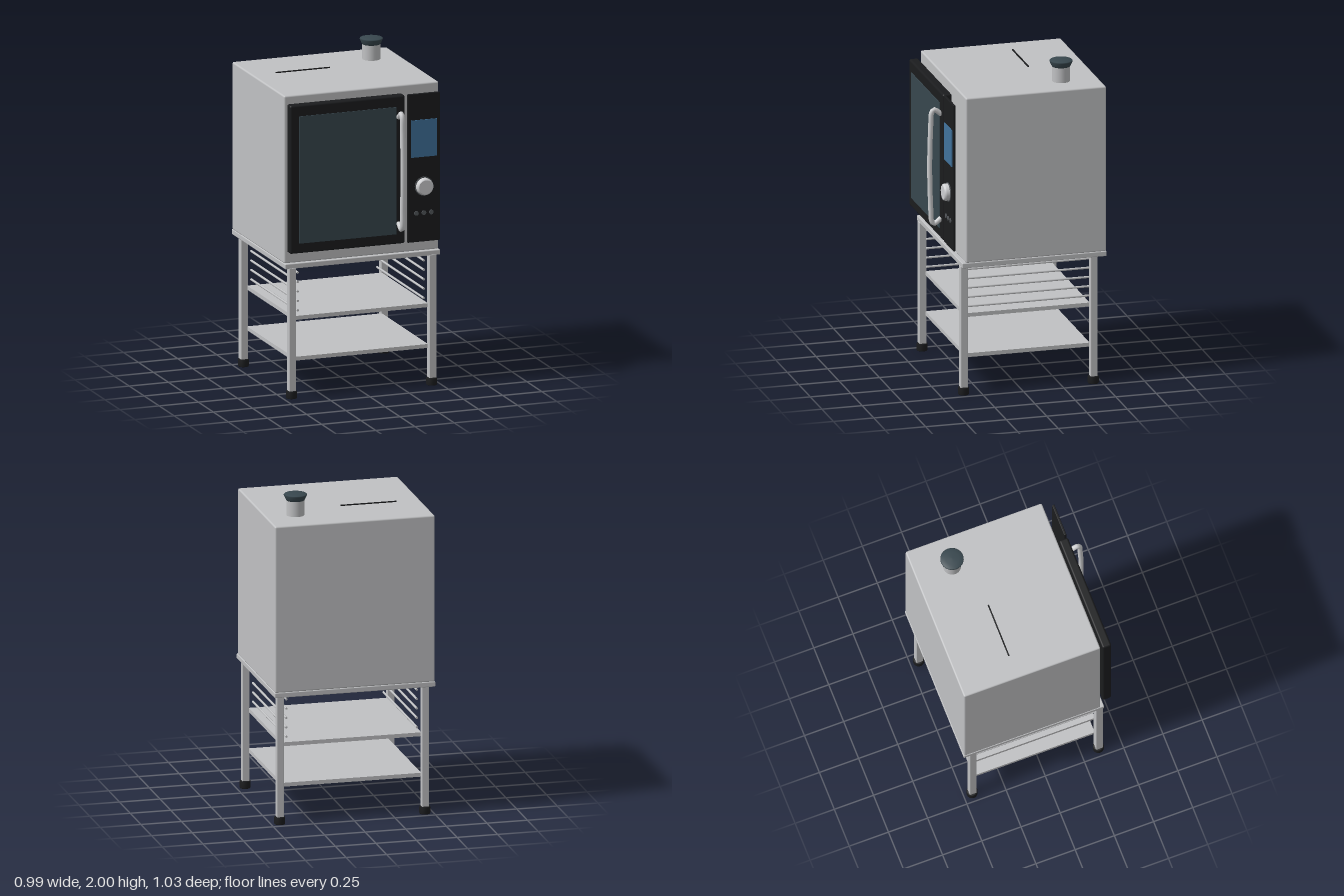
import * as THREE from 'three';
import { RoundedBoxGeometry } from 'three/addons/geometries/RoundedBoxGeometry.js';

const paint = (name, color) => {
  const m = new THREE.MeshStandardMaterial({ color });
  m.name = name;
  return m;
};

export function createModel() {
  const steel = paint('brushed steel', 0xc0c1c3);
  const chrome = paint('polished steel', 0xcfd0d2);
  const black = paint('black enamel', 0x1b1c1e);
  const glass = paint('dark glass', 0x38474e);
  const blue = paint('display blue', 0x41739c);
  const grey = paint('button grey', 0x55595d);

  const model = new THREE.Group();
  model.name = 'ovenOnStand';

  const add = (name, geometry, material, x = 0, y = 0, z = 0, parent = model) => {
    const mesh = new THREE.Mesh(geometry, material);
    mesh.name = name;
    mesh.position.set(x, y, z);
    parent.add(mesh);
    return mesh;
  };
  // Box given by its limits, optionally with rounded edges
  const box = (name, mat, [x0, x1], [y0, y1], [z0, z1], r = 0, parent = model) => {
    const s = [x1 - x0, y1 - y0, z1 - z0];
    const g = r ? new RoundedBoxGeometry(...s, 3, r) : new THREE.BoxGeometry(...s);
    return add(name, g, mat, (x0 + x1) / 2, (y0 + y1) / 2, (z0 + z1) / 2, parent);
  };
  const group = (name) => {
    const g = new THREE.Group();
    g.name = name;
    model.add(g);
    return g;
  };

  // Cabinet
  box('cabinet', steel, [-0.493, 0.493], [0.83, 1.862], [-0.515, 0.355], 0.01);
  box('roofSlot', black, [-0.345, 0], [1.86, 1.868], [-0.177, -0.169]);

  // Exhaust pipe with a flared cap
  add('exhaustPipe', new THREE.CylinderGeometry(0.054, 0.054, 0.11, 32), steel, 0.308, 1.91, -0.287);
  const cap = [[0, 1.955], [0.055, 1.955], [0.059, 1.962], [0.07, 1.987], [0.066, 1.992], [0.04, 1.998], [0, 2]]
    .map(([r, y]) => new THREE.Vector2(r, y));
  add('exhaustCap', new THREE.LatheGeometry(cap, 32), glass, 0.308, 0, -0.287);

  // Door with window
  const door = group('door');
  box('doorFrame', black, [-0.483, 0.25], [0.905, 1.818], [0.372, 0.429], 0.012, door);
  box('doorWindow', glass, [-0.425, 0.193], [0.967, 1.75], [0.426, 0.434], 0, door);

  // Bowed handle
  const half = [[1.685, 0.428], [1.705, 0.452], [1.716, 0.471], [1.7, 0.486], [1.6, 0.493]];
  const points = [...half, [1.36, 0.499], ...half.map(([y, z]) => [2.72 - y, z]).reverse()]
    .map(([y, z]) => new THREE.Vector3(0.21, y, z));
  add('doorHandle', new THREE.TubeGeometry(new THREE.CatmullRomCurve3(points), 64, 0.0155, 12), chrome, 0, 0, 0, door);

  // Control panel
  const panel = group('controlPanel');
  box('panelPlate', black, [0.268, 0.473], [0.905, 1.818], [0.413, 0.428], 0.004, panel);
  box('displayScreen', blue, [0.288, 0.452], [1.428, 1.657], [0.426, 0.433], 0, panel);
  add('knobRing', new THREE.CylinderGeometry(0.058, 0.058, 0.006, 32), grey, 0.37, 1.247, 0.43, panel)
    .rotation.x = Math.PI / 2;
  const knob = [[0.052, 0], [0.052, 0.018], [0.05, 0.026], [0.043, 0.032], [0.043, 0.032], [0, 0.032]]
    .map(([r, y]) => new THREE.Vector2(r, y));
  add('knob', new THREE.LatheGeometry(knob, 32), chrome, 0.37, 1.247, 0.432, panel)
    .rotation.x = Math.PI / 2;
  for (const x of [0.322, 0.37, 0.417]) {
    add('button', new THREE.CylinderGeometry(0.014, 0.014, 0.008, 20), grey, x, 1.083, 0.429, panel)
      .rotation.x = Math.PI / 2;
  }

  // Stand: top plate, shelves, legs and feet
  const stand = group('stand');
  box('standTop', steel, [-0.495, 0.495], [0.8, 0.832], [-0.517, 0.378], 0.005, stand);
  for (const y of [0.235, 0.486]) {
    box('shelf', steel, [-0.43, 0.43], [y - 0.012, y + 0.012], [-0.43, 0.342], 0, stand);
  }
  const foot = [[0, 0], [0.03, 0], [0.033, 0.004], [0.033, 0.042], [0.029, 0.047], [0, 0.047]]
    .map(([r, y]) => new THREE.Vector2(r, y));
  for (const x of [-0.447, 0.447]) {
    for (const z of [-0.447, 0.358]) {
      box('leg', steel, [x - 0.022, x + 0.022], [0.03, 0.805], [z - 0.022, z + 0.022], 0.004, stand);
      add('foot', new THREE.LatheGeometry(foot, 24), black, x, 0, z, stand);
    }
    // Tray runners
    const inner = Math.sign(x) * 0.402;
    for (let i = 0; i < 5; i++) {
      add('trayRunner', new THREE.CylinderGeometry(0.007, 0.007, 0.78, 10), steel, inner, 0.765 - i * 0.058, -0.044, stand)
        .rotation.x = Math.PI / 2;
    }
  }
  return model;
}
